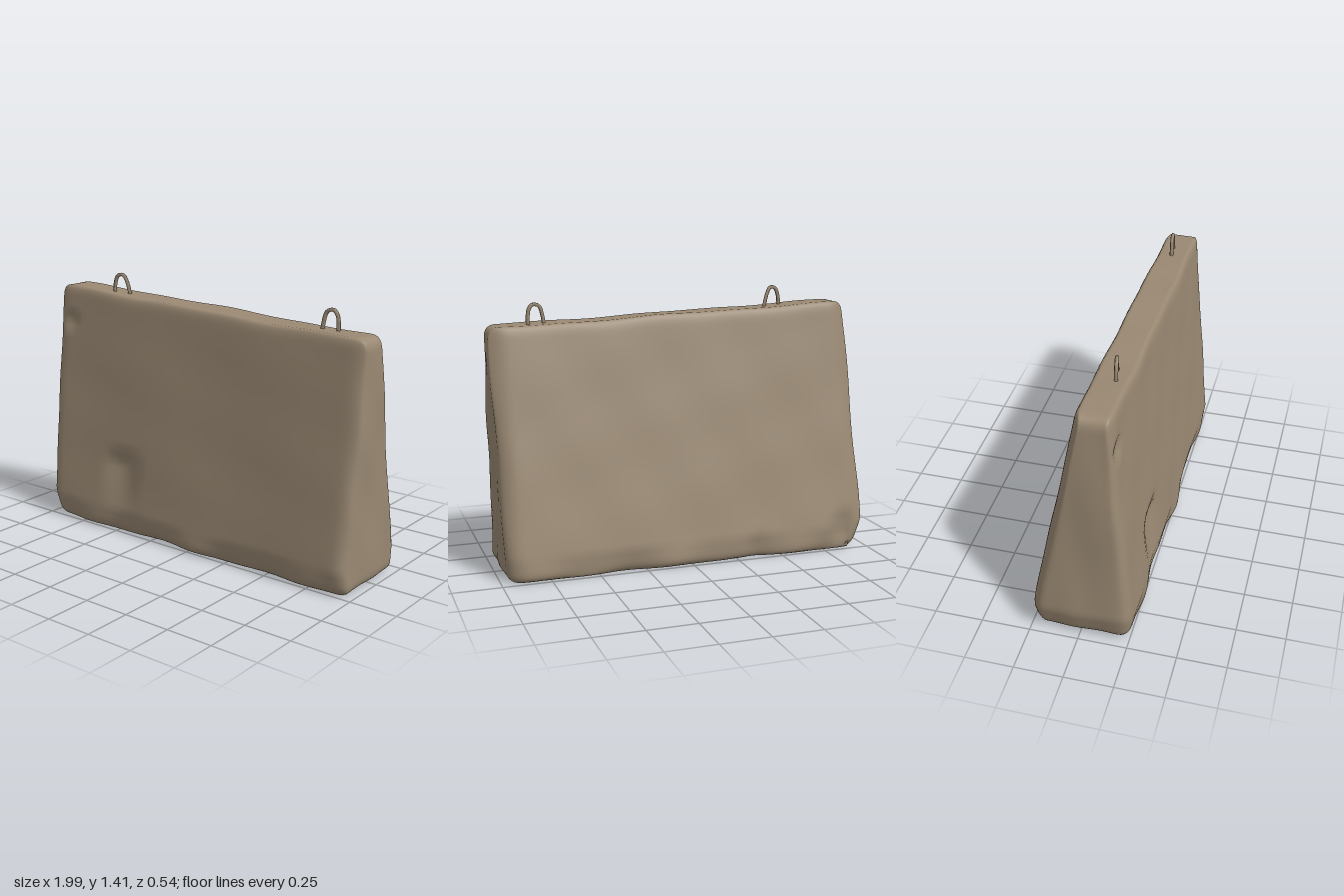
import * as THREE from 'three';
import { mergeVertices } from 'three/addons/utils/BufferGeometryUtils.js';

const concrete = new THREE.MeshStandardMaterial({ color: 0x9a8973 });
concrete.name = 'weathered concrete';

// smooth bump, 1 at its centre and 0 beyond its radius
const bump = (a, b, ra, rb) => {
  const d = (a / ra) ** 2 + (b / rb) ** 2;
  return d < 1 ? (1 - d) ** 2 : 0;
};
const wobble = (a, b) =>
  Math.sin(a * 7.1 + b * 3.3 + 1) * 0.5 + Math.sin(a * 13.7 - b * 8.9) * 0.3 + Math.sin(b * 15 + a * 4.2 + 2) * 0.2;

// rounded block, tapered upwards, then worn and chipped
function blockGeometry() {
  const half = new THREE.Vector3(1, 0.66, 0.275);
  const r = 0.055;
  const inner = half.clone().subScalar(r);
  let geo = new THREE.BoxGeometry(2, 2, 2, 56, 40, 18);
  geo.deleteAttribute('uv');
  geo.deleteAttribute('normal');
  geo = mergeVertices(geo);
  const pos = geo.attributes.position;
  const p = new THREE.Vector3(), c = new THREE.Vector3();
  const spread = (t) => 0.45 * t + 0.55 * Math.sin(t * Math.PI / 2); // denser rows at the edges
  for (let i = 0; i < pos.count; i++) {
    p.fromBufferAttribute(pos, i);
    p.set(spread(p.x), spread(p.y), spread(p.z)).multiply(half);
    c.copy(p).clamp(inner.clone().negate(), inner);
    p.sub(c).normalize().multiplyScalar(r).add(c);

    // taper, leaning ends and sloping top
    const t = (p.y + half.y) / (2 * half.y);
    const w = p.z / half.z;
    const front = 0.277 - 0.107 * t, back = -0.277 + 0.262 * t;
    let x = p.x < 0 ? p.x * (1 - 0.05 * t) : p.x * (0.975 + 0.02 * t);
    let y = 0.005 + t * (1.32 - 0.038 * (p.x + 1));
    let z = (front + back) / 2 + w * (front - back) / 2;
    const ox = x, oy = y;

    // uneven faces
    z += 0.005 * w * (wobble(ox, oy) - 0.6);
    x += 0.008 * p.x ** 5 * (wobble(oy, z * 2) - 0.7);
    y += 0.006 * t ** 4 * wobble(ox, z);

    // ragged lower edges
    const low = Math.max(0, 1 - oy / 0.13);
    if (low > 0) z -= 0.05 * low * w ** 3 * (0.5 + 0.5 * wobble(ox * 1.3, w));

    // clipped vertical corners, heavier at the back
    const corner = Math.max(0, Math.abs(p.x) - 0.9) / 0.1;
    z -= w ** 3 * corner ** 2 * (w < 0 ? 0.035 : 0.012);

    // cut lower corner at one end
    if (ox < -0.9) x += 0.05 * Math.max(0, 1 - oy / 0.16);

    // hollow in the front, deepest beneath its upper lip
    if (w > 0.5) {
      const across = bump(ox + 0.46, 0, 0.15, 1);
      const down = oy > 0.4 ? Math.max(0, 1 - (oy - 0.4) / 0.07) : Math.max(0, (oy - 0.05) / 0.35);
      z -= 0.035 * across * down;
      z -= 0.02 * bump(ox + 0.87, oy - 1.13, 0.08, 0.06);
    }
    // chips on the back
    if (w < -0.5) {
      z += 0.025 * bump(ox + 0.86, oy - 0.12, 0.1, 0.12);
      z += 0.015 * bump(ox + 0.35, oy - 0.06, 0.08, 0.1);
    }
    pos.setXYZ(i, x, Math.max(0, y), z);
  }
  geo.computeVertexNormals();
  return geo;
}

// bent steel lifting loop set into the top
function liftingLoop(points) {
  const curve = new THREE.CatmullRomCurve3(points.map((q) => new THREE.Vector3(...q)));
  return new THREE.Mesh(new THREE.TubeGeometry(curve, 24, 0.01, 6), concrete);
}

export function createModel() {
  const model = new THREE.Group();
  model.name = 'concreteBarrier';

  const block = new THREE.Mesh(blockGeometry(), concrete);
  block.name = 'barrierBlock';
  model.add(block);

  const rightLoop = liftingLoop([
    [-0.605, 1.26, 0.1], [-0.598, 1.36, 0.1], [-0.58, 1.398, 0.098],
    [-0.55, 1.402, 0.092], [-0.53, 1.37, 0.086], [-0.502, 1.26, 0.08],
  ]);
  rightLoop.name = 'rightLiftingLoop';
  const leftLoop = liftingLoop([
    [0.688, 1.2, 0.07], [0.702, 1.3, 0.07], [0.718, 1.345, 0.068],
    [0.75, 1.355, 0.065], [0.772, 1.33, 0.062], [0.778, 1.2, 0.06],
  ]);
  leftLoop.name = 'leftLiftingLoop';
  model.add(rightLoop, leftLoop);
  return model;
}
